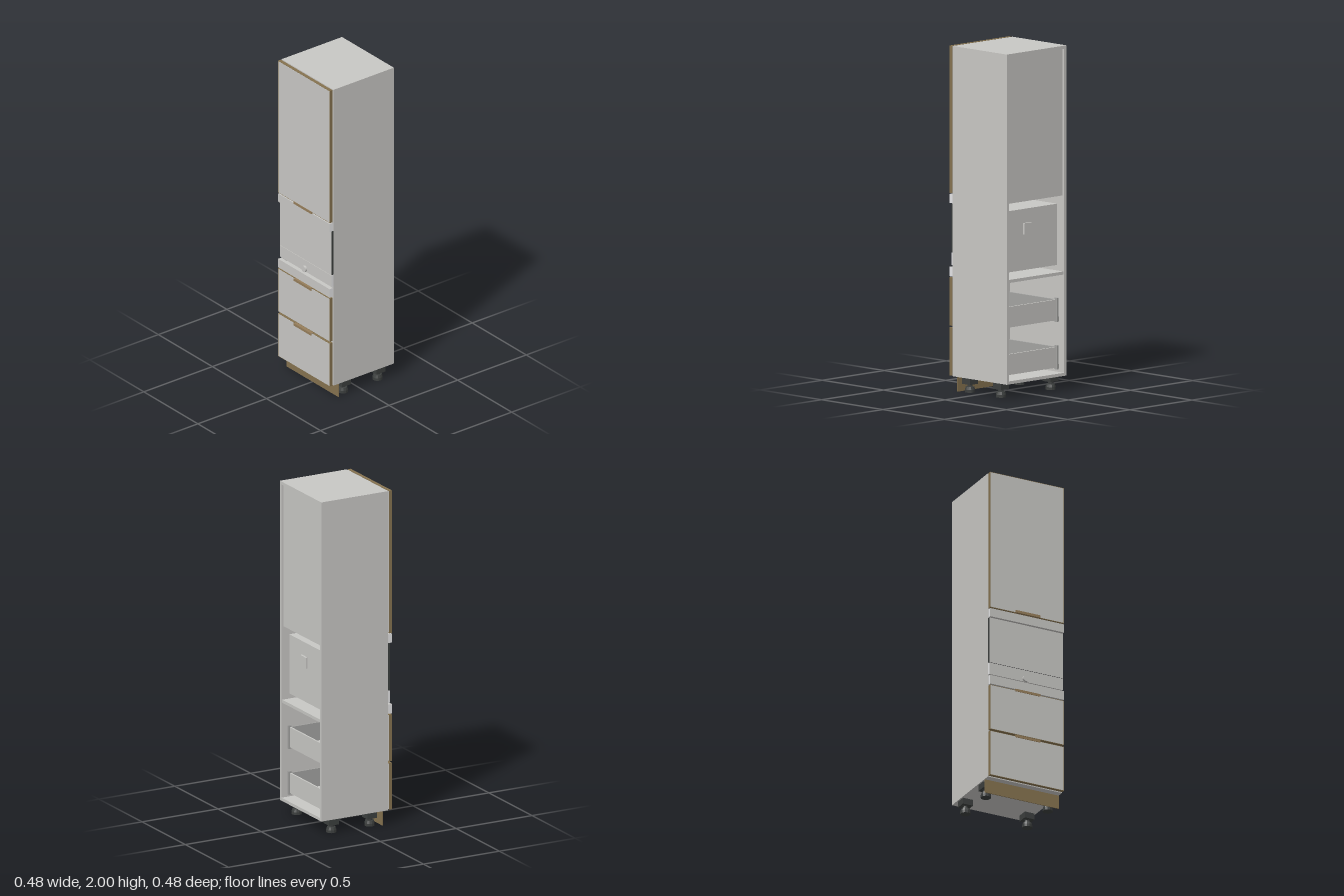
import * as THREE from 'three';

const mat = (name, color, side = THREE.FrontSide) => {
  const m = new THREE.MeshStandardMaterial({ color, side });
  m.name = name;
  return m;
};

export function createModel() {
  const grey = mat('panelGrey', 0xc8c7c4);
  const brown = mat('edgeBrown', 0x85724f);
  const bronze = mat('handleBronze', 0x967e5b);
  const black = mat('footBlack', 0x3c3f3e);
  const steel = mat('railGrey', 0xa3a3a1);
  const white = mat('trimWhite', 0xe4e4e6);

  const model = new THREE.Group();
  model.name = 'tallOvenCabinet';

  const group = (name) => {
    const g = new THREE.Group();
    g.name = name;
    model.add(g);
    return g;
  };
  // Box given by its limits on each axis
  const box = (parent, name, [x0, x1], [y0, y1], [z0, z1], material) => {
    const mesh = new THREE.Mesh(new THREE.BoxGeometry(x1 - x0, y1 - y0, z1 - z0), material);
    mesh.position.set((x0 + x1) / 2, (y0 + y1) / 2, (z0 + z1) / 2);
    mesh.name = name;
    parent.add(mesh);
    return mesh;
  };
  const BACK = -0.24, FRONT = 0.2, W = 0.24, T = 0.018;
  const inner = [-W + T, W - T];

  // Carcass: sides, horizontal boards, upper back panel and shelves
  const carcass = group('carcass');
  box(carcass, 'leftSide', [W - T, W], [0.085, 2], [BACK, FRONT], grey);
  box(carcass, 'rightSide', [-W, -W + T], [0.085, 2], [BACK, FRONT], grey);
  box(carcass, 'topBoard', inner, [2 - T, 2], [BACK, FRONT], grey);
  box(carcass, 'bottomBoard', inner, [0.085, 0.085 + T], [BACK, FRONT], grey);
  box(carcass, 'upperDivider', inner, [1.13, 1.148], [-0.222, FRONT], grey);
  box(carcass, 'ovenShelf', inner, [0.672, 0.69], [BACK + 0.005, FRONT], grey);
  box(carcass, 'upperBackPanel', inner, [1.13, 2 - T], [-0.227, -0.221], grey);
  for (const y of [1.36, 1.58, 1.79]) box(carcass, 'innerShelf', inner, [y - 0.008, y + 0.008], [-0.22, 0.18], grey);

  // Fronts: brown-edged core with grey faces
  const frontPanel = (name, y0, y1) => {
    const g = group(name), x = 0.2385, e = 0.003;
    box(g, 'edgeBand', [-x, x], [y0, y1], [0.207, 0.226], brown);
    box(g, 'outerFace', [-x + e, x - e], [y0 + e, y1 - e], [0.2255, 0.227], grey);
    box(g, 'innerFace', [-x + e, x - e], [y0 + e, y1 - e], [0.206, 0.2075], grey);
    return g;
  };
  // Handle: thin tab on the edge of a front with a turned lip
  const handle = (g, y, dir) => {
    const span = (a, b) => [Math.min(a, b), Math.max(a, b)];
    box(g, 'handleTab', [-0.08, 0.08], span(y, y + dir * 0.003), [0.208, 0.238], bronze);
    box(g, 'handleLip', [-0.08, 0.08], span(y, y + dir * 0.015), [0.235, 0.238], bronze);
  };
  handle(frontPanel('upperDoor', 1.145, 2), 1.142, 1);
  handle(frontPanel('upperDrawerFront', 0.376, 0.656), 0.659, -1);
  handle(frontPanel('lowerDrawerFront', 0.087, 0.366), 0.369, -1);

  // Filler strips above and below the oven
  for (const [y0, y1] of [[1.087, 1.139], [0.662, 0.717]]) {
    const edge = [white, white, grey, grey, grey, grey];
    box(model, 'fillerStrip', [-0.2385, 0.2385], [y0, y1], [0.204, 0.227], edge);
  }

  // Oven
  const oven = group('oven');
  box(oven, 'ovenBody', [-0.21, 0.21], [0.725, 1.08], [-0.195, 0.2], grey);
  box(oven, 'ovenDoor', [-0.238, 0.238], [0.803, 1.085], [0.2, 0.214],
    [black, black, black, black, grey, grey]);
  box(oven, 'controlPanel', [-0.238, 0.238], [0.728, 0.801], [0.2, 0.214],
    [white, white, grey, grey, grey, grey]);
  const knob = new THREE.Mesh(new THREE.CylinderGeometry(0.019, 0.019, 0.014, 32), grey);
  knob.rotation.x = Math.PI / 2;
  knob.position.set(-0.005, 0.747, 0.22);
  knob.name = 'ovenKnob';
  oven.add(knob);
  box(oven, 'connectionBox', [-0.003, 0.063], [0.932, 0.998], [-0.207, -0.195], grey);

  // Drawer boxes with side rails and rear brackets
  for (const y of [0.39, 0.115]) {
    const drawer = group('drawerBox');
    box(drawer, 'drawerFloor', [-0.205, 0.205], [y + 0.015, y + 0.027], [-0.195, 0.205], grey);
    box(drawer, 'drawerBack', [-0.205, 0.205], [y + 0.015, y + 0.135], [-0.197, -0.187], grey);
    for (const s of [-1, 1]) {
      const xs = (a, b) => (s > 0 ? [a, b] : [-b, -a]);
      box(drawer, 'drawerSide', xs(0.2, 0.21), [y + 0.01, y + 0.135], [-0.187, 0.206], steel);
      box(drawer, 'runner', xs(0.21, 0.222), [y + 0.01, y + 0.035], [-0.2, 0.19], steel);
      box(drawer, 'rearBracket', xs(0.2, 0.212), [y + 0.005, y + 0.145], [-0.205, -0.185], steel);
    }
  }

  // Plinth board
  box(model, 'plinth', [-W, W], [0, 0.082], [0.16, 0.165], brown);

  // Adjustable feet
  const footProfile = [[0, 0], [0.03, 0], [0.03, 0.016], [0.025, 0.032], [0.016, 0.034],
    [0.016, 0.045], [0.022, 0.046], [0.024, 0.052]].map(([r, y]) => new THREE.Vector2(r, y));
  for (const x of [-0.2, 0.2]) for (const z of [-0.152, 0.1]) {
    const foot = group('foot');
    const base = new THREE.Mesh(new THREE.LatheGeometry(footProfile, 12).toNonIndexed(), black);
    base.geometry.computeVertexNormals();
    base.name = 'footBase';
    foot.add(base);
    box(foot, 'footBlock', [-0.032, 0.032], [0.048, 0.086], [-0.032, 0.032], black);
    foot.position.set(x, 0, z);
  }

  return model;
}
